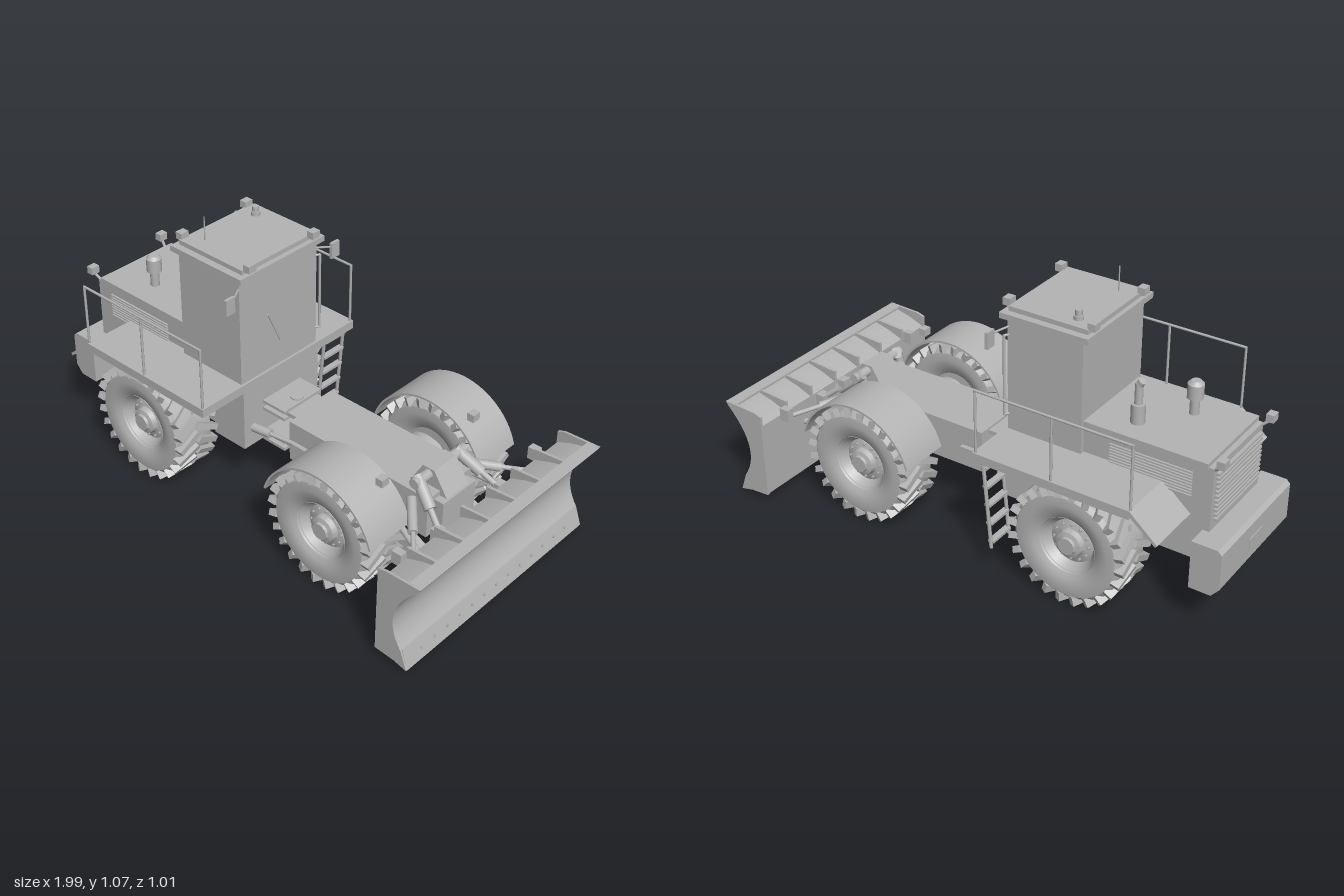
import * as THREE from 'three';
import { toCreasedNormals } from 'three/addons/utils/BufferGeometryUtils.js';

const grey = new THREE.MeshStandardMaterial({ color: 0xb4b4b4, side: THREE.DoubleSide });
grey.name = 'plain grey';

export function createModel() {
  const model = new THREE.Group();
  model.name = 'wheelDozer';
  const V = (x, y, z) => new THREE.Vector3(x, y, z);

  const add = (name, geo, parent = model) => {
    const m = new THREE.Mesh(geo, grey);
    m.name = name;
    parent.add(m);
    return m;
  };
  // box given by its limits on each axis
  const box = (name, x0, x1, y0, y1, z0, z1, parent) => {
    const m = add(name, new THREE.BoxGeometry(x1 - x0, y1 - y0, z1 - z0), parent);
    m.position.set((x0 + x1) / 2, (y0 + y1) / 2, (z0 + z1) / 2);
    return m;
  };
  // box given by centre and size
  const block = (name, x, y, z, w, h, d) =>
    box(name, x - w / 2, x + w / 2, y - h / 2, y + h / 2, z - d / 2, z + d / 2);
  // round bar between two points
  const rod = (name, a, b, r, sides = 10, r2 = r) => {
    const m = add(name, new THREE.CylinderGeometry(r2, r, a.distanceTo(b), sides));
    m.position.copy(a).lerp(b, 0.5);
    m.quaternion.setFromUnitVectors(V(0, 1, 0), b.clone().sub(a).normalize());
    return m;
  };
  // x-y profile stretched along z
  const slab = (name, pts, z0, z1) => {
    const shape = new THREE.Shape(pts.map(p => new THREE.Vector2(p[0], p[1])));
    const g = new THREE.ExtrudeGeometry(shape, { depth: z1 - z0, bevelEnabled: false });
    g.translate(0, 0, z0);
    return add(name, toCreasedNormals(g, 0.5));
  };
  // hydraulic ram: thick barrel and thin rod
  const ram = (name, a, b, r) => {
    const mid = a.clone().lerp(b, 0.55);
    rod(name + 'Barrel', a, mid, r, 14);
    rod(name + 'Rod', mid, b, r * 0.5, 10);
  };

  // ---- wheels ----
  const tyreProfile = [[0.105, -0.07], [0.13, -0.088], [0.17, -0.094], [0.2, -0.09], [0.216, -0.075],
    [0.22, 0], [0.216, 0.075], [0.2, 0.09], [0.17, 0.094], [0.13, 0.088], [0.105, 0.07]];
  const rimProfile = [[0.001, 0.085], [0.032, 0.085], [0.034, 0.075], [0.05, 0.07], [0.055, 0.05],
    [0.085, 0.04], [0.1, 0.06], [0.112, 0.078], [0.112, -0.06], [0.001, -0.06]];
  const lathe = (pts) => {
    const g = new THREE.LatheGeometry(pts.map(p => new THREE.Vector2(p[0], p[1])), 48);
    g.rotateX(Math.PI / 2);
    return toCreasedNormals(g, 0.6);
  };
  const tyreGeo = lathe(tyreProfile), rimGeo = lathe(rimProfile);
  const lugGeo = new THREE.BoxGeometry(0.024, 0.035, 0.104);
  const boltGeo = new THREE.CylinderGeometry(0.005, 0.005, 0.012, 6).rotateX(Math.PI / 2);
  for (const x of [-0.466, 0.453]) for (const s of [1, -1]) {
    const wheel = new THREE.Group();
    wheel.name = 'wheel';
    wheel.position.set(x, 0.24, s * 0.298);
    if (s < 0) wheel.rotation.y = Math.PI;
    model.add(wheel);
    add('tyre', tyreGeo, wheel);
    add('rim', rimGeo, wheel);
    for (let i = 0; i < 24; i++) for (const side of [1, -1]) { // chevron tread
      const a = ((i + (side > 0 ? 0 : 0.5)) / 24) * Math.PI * 2;
      const holder = new THREE.Group();
      holder.rotation.z = a;
      wheel.add(holder);
      const lug = add('treadLug', lugGeo, holder);
      lug.position.set(0, 0.217, side * 0.047);
      lug.rotation.y = side * 0.5;
    }
    for (let i = 0; i < 12; i++) {
      const a = i / 12 * Math.PI * 2;
      add('wheelBolt', boltGeo, wheel).position.set(Math.cos(a) * 0.07, Math.sin(a) * 0.07, 0.047);
    }
  }
  // axles with differential housings
  for (const x of [-0.466, 0.453]) {
    rod('axle', V(x, 0.24, -0.25), V(x, 0.24, 0.25), 0.06, 20);
    rod('axleHousing', V(x, 0.24, -0.2), V(x, 0.24, 0.2), 0.1, 28);
    const diff = add('differential', new THREE.SphereGeometry(0.11, 24, 16));
    diff.position.set(x, 0.225, 0);
    diff.scale.set(1, 0.85, 0.8);
  }

  // ---- front frame and articulation ----
  box('frontFrame', 0.07, 0.72, 0.21, 0.38, -0.125, 0.125);
  box('frameNose', 0.72, 0.76, 0.2, 0.36, -0.09, 0.09);
  slab('rampTower', [[0.6, 0.38], [0.64, 0.45], [0.69, 0.45], [0.75, 0.36], [0.72, 0.34]], -0.06, 0.06);
  for (const y of [0.363, 0.225]) {
    box('frontHinge', -0.025, 0.07, y - 0.008, y + 0.008, -0.08, 0.08);
    for (const d of [-0.016, 0.016])
      box('rearHinge', -0.09, 0.02, y + d - 0.006, y + d + 0.006, -0.1, 0.1);
    rod('hingePin', V(-0.01, y - 0.028, 0), V(-0.01, y + 0.028, 0), 0.024, 20);
  }
  for (const s of [1, -1]) {
    ram('steeringRam', V(-0.2, 0.285, s * 0.165), V(0.14, 0.29, s * 0.118), 0.018);
    box('steeringLug', 0.1, 0.16, 0.275, 0.3, s * 0.13 - 0.012, s * 0.13 + 0.012);

    // arched mudguards over the front wheels
    const pts = [], n = 28, a0 = 0.28, a1 = Math.PI - 0.28;
    for (let i = 0; i <= n; i++) { const a = a0 + (a1 - a0) * i / n; pts.push([0.453 + 0.258 * Math.cos(a), 0.24 + 0.258 * Math.sin(a)]); }
    for (let i = n; i >= 0; i--) { const a = a0 + (a1 - a0) * i / n; pts.push([0.453 + 0.25 * Math.cos(a), 0.24 + 0.25 * Math.sin(a)]); }
    slab('frontMudguard', pts, s > 0 ? 0.195 : -0.402, s > 0 ? 0.402 : -0.195);
    block('mudguardLamp', 0.617, 0.48, s * 0.25, 0.03, 0.03, 0.036);
  }

  // ---- rear chassis and counterweight ----
  box('rearChassis', -0.88, -0.09, 0.21, 0.4, -0.155, 0.155);
  box('cabBase', -0.25, -0.09, 0.21, 0.5, -0.2, 0.2);
  slab('counterweight', [[-0.995, 0.345], [-0.98, 0.36], [-0.88, 0.36], [-0.88, 0.17], [-0.965, 0.17], [-0.995, 0.205]], -0.26, 0.26);
  box('towHitch', -0.998, -0.99, 0.24, 0.29, -0.05, 0.05);

  // ---- engine hood ----
  box('hood', -0.905, -0.4, 0.36, 0.61, -0.18, 0.18);
  box('hoodLid', -0.885, -0.4, 0.6, 0.626, -0.187, 0.187);
  for (let i = 0; i < 11; i++) block('rearLouvre', -0.91, 0.4 + i * 0.018, 0, 0.016, 0.009, 0.32);
  for (const s of [1, -1]) {
    for (let i = 0; i < 9; i++) block('sideLouvre', -0.67, 0.478 + i * 0.0115, s * 0.182, 0.32, 0.006, 0.012);
    block('rearLamp', -0.935, 0.642, s * 0.18, 0.03, 0.03, 0.036);
    rod('rearLampStem', V(-0.935, 0.63, s * 0.18), V(-0.9, 0.6, s * 0.17), 0.006, 6);
  }
  rod('exhaustBase', V(-0.56, 0.62, -0.085), V(-0.56, 0.7, -0.085), 0.026, 18);
  rod('exhaustPipe', V(-0.56, 0.7, -0.085), V(-0.56, 0.78, -0.085), 0.015, 14);
  rod('exhaustTip', V(-0.56, 0.77, -0.085), V(-0.572, 0.79, -0.085), 0.014, 14);
  rod('airIntakePipe', V(-0.692, 0.62, 0.075), V(-0.692, 0.7, 0.075), 0.018, 14);
  rod('airCleaner', V(-0.692, 0.69, 0.075), V(-0.692, 0.745, 0.075), 0.03, 20);
  rod('airCleanerCap', V(-0.692, 0.745, 0.075), V(-0.692, 0.757, 0.075), 0.03, 20, 0.018);

  // ---- side decks with rails ----
  for (const s of [1, -1]) {
    const z0 = s > 0 ? 0.18 : -0.405, z1 = s > 0 ? 0.405 : -0.18;
    box('sideDeck', -0.72, -0.09, 0.465, 0.5, z0, z1);
    slab('deckMudflap', [[-0.72, 0.5], [-0.83, 0.405], [-0.822, 0.397], [-0.71, 0.488]], z0, z1);
    rod('railTop', V(-0.72, 0.748, s * 0.396), V(-0.1, 0.748, s * 0.396), 0.005, 8);
    for (const x of [-0.72, -0.41, -0.1]) rod('railPost', V(x, 0.5, s * 0.396), V(x, 0.75, s * 0.396), 0.005, 8);
  }
  // access ladder under the right deck
  for (const z of [-0.28, -0.39]) rod('ladderRail', V(-0.125, 0.48, z), V(-0.158, 0.115, z), 0.007, 6);
  for (let i = 0; i < 5; i++) {
    const y = 0.14 + i * 0.075;
    block('ladderRung', -0.158 + (y - 0.115) * 0.09, y, -0.335, 0.025, 0.01, 0.11);
  }

  // ---- cab ----
  box('cab', -0.405, -0.1, 0.4, 0.945, -0.2, 0.2);
  box('roofBrim', -0.432, -0.075, 0.94, 0.962, -0.216, 0.216);
  box('roofTop', -0.415, -0.095, 0.96, 0.98, -0.188, 0.188);
  for (const x of [-0.422, -0.082]) for (const s of [1, -1])
    block('roofLamp', x, 0.988, s * 0.163, 0.03, 0.028, 0.036);
  rod('antenna', V(-0.345, 0.975, 0.125), V(-0.345, 1.075, 0.125), 0.0025, 6);
  rod('beaconBase', V(-0.345, 0.975, -0.135), V(-0.345, 0.995, -0.135), 0.018, 14);
  rod('beacon', V(-0.345, 0.99, -0.135), V(-0.345, 1.016, -0.135), 0.013, 14);
  rod('wiper', V(-0.097, 0.74, 0.06), V(-0.097, 0.607, 0), 0.003, 6);
  for (const s of [1, -1]) {
    rod('mirrorArm', V(-0.105, 0.908, s * 0.195), V(-0.075, 0.898, s * 0.255), 0.004, 6);
    block('mirror', -0.075, 0.882, s * 0.271, 0.012, 0.064, 0.042);
  }
  rod('cabGrabBar', V(-0.094, 0.56, -0.213), V(-0.094, 0.878, -0.213), 0.005, 8);
  for (const y of [0.562, 0.876]) rod('grabBarMount', V(-0.105, y, -0.195), V(-0.094, y, -0.213), 0.005, 8);

  // ---- blade ----
  const face = new THREE.QuadraticBezierCurve(new THREE.Vector2(0.985, 0.38), new THREE.Vector2(0.83, 0.225), new THREE.Vector2(0.93, 0.085))
    .getPoints(18).map(p => [p.x, p.y]);
  slab('bladeBody', [[0.825, 0.03], [0.825, 0.335], [0.89, 0.36], [0.97, 0.38], ...face, [0.92, 0.03]], -0.498, 0.498);
  for (const s of [1, -1])
    slab('bladeEndPlate', [[0.82, 0.03], [0.82, 0.38], [0.85, 0.39], [0.995, 0.396], ...face, [0.957, 0.012], [0.9, 0.025]],
      s > 0 ? 0.496 : -0.506, s > 0 ? 0.506 : -0.496);
  slab('bladeTopLip', [[0.945, 0.386], [0.945, 0.395], [0.995, 0.395], [0.985, 0.378]], -0.5, 0.5);
  slab('cuttingEdge', [[0.915, 0.088], [0.932, 0.088], [0.957, 0.01], [0.94, 0.01]], -0.5, 0.5);
  for (let i = 0; i < 13; i++) {
    const z = (i - 6) * 0.069;
    rod('edgeBolt', V(0.935, 0.047, z), V(0.95, 0.05, z), 0.005, 6);
  }
  for (let i = 1; i < 7; i++) {
    const z = -0.5 + i / 7;
    slab('bladeRib', [[0.822, 0.33], [0.822, 0.38], [0.95, 0.39], [0.96, 0.37]], z - 0.006, z + 0.006);
  }

  // ---- blade linkage ----
  for (const s of [1, -1]) {
    const z = s * 0.15;
    slab('pushArm', [[0.64, 0.2], [0.68, 0.2], [0.83, 0.13], [0.83, 0.07], [0.7, 0.105], [0.62, 0.17]], z - 0.025, z + 0.025);
    ram('liftRam', V(0.65, 0.435, s * 0.105), V(0.82, 0.3, s * 0.17), 0.023);
    ram('angleRam', V(0.66, 0.36, s * 0.14), V(0.83, 0.3, s * 0.33), 0.018);
    rod('sideStrut', V(0.58, 0.3, s * 0.17), V(0.83, 0.24, s * 0.26), 0.012, 10);
    rod('liftRamTrunnion', V(0.665, 0.425, s * 0.06), V(0.665, 0.425, s * 0.14), 0.02, 14);
    block('bladeBracket', 0.805, 0.34, s * 0.38, 0.04, 0.05, 0.03);
    block('bladeBracket', 0.805, 0.3, s * 0.17, 0.04, 0.06, 0.04);
  }
  return model;
}
